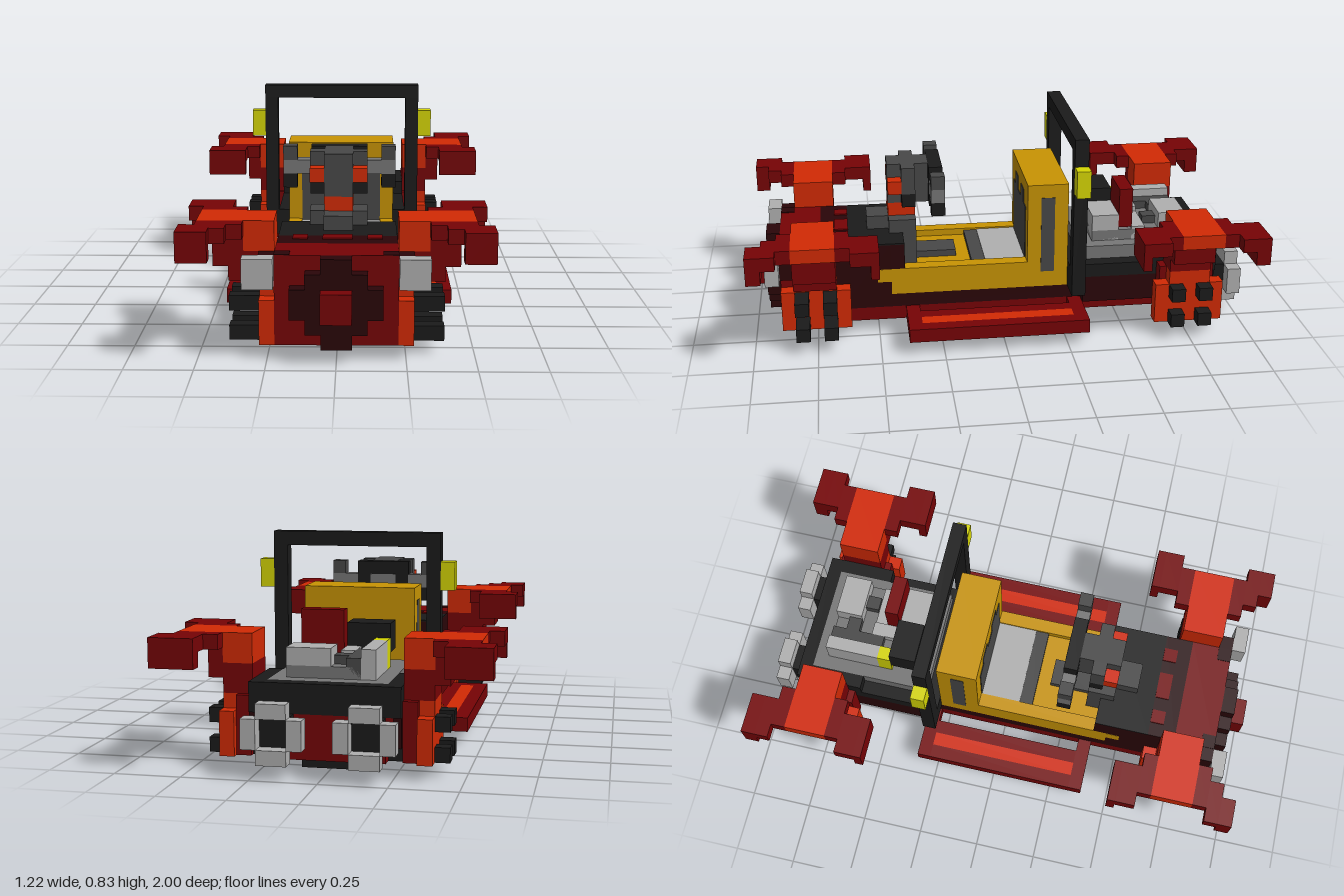
import * as THREE from 'three';

const U = 1 / 18; // one block

export function createModel() {
  const root = new THREE.Group();
  const mat = (name, color) => {
    const m = new THREE.MeshStandardMaterial({ color });
    m.name = name;
    return m;
  };
  const red = mat('red', 0x760305), orange = mat('orange', 0xd22a04), maroon = mat('maroon', 0x2a0508),
    black = mat('black', 0x1b1b1b), dark = mat('dark grey', 0x484848), grey = mat('grey', 0x777777),
    silver = mat('silver', 0xb0b0b0), gold = mat('gold', 0xc89403), yellow = mat('yellow', 0xd6d603);

  // Box given by its limits in block units
  const box = (name, m, x0, x1, y0, y1, z0, z1) => {
    const mesh = new THREE.Mesh(new THREE.BoxGeometry((x1 - x0) * U, (y1 - y0) * U, (z1 - z0) * U), m);
    mesh.position.set((x0 + x1) / 2 * U, (y0 + y1) / 2 * U, (z0 + z1) / 2 * U);
    mesh.name = name;
    root.add(mesh);
  };
  const pair = (name, m, x0, x1, ...r) => {
    box(name + 'Left', m, x0, x1, ...r);
    box(name + 'Right', m, -x1, -x0, ...r);
  };

  // Chassis with red ladder frame underneath
  box('floorPan', black, -3, 3, 1.5, 2.5, -15, 13);
  pair('frameRail', red, 3, 4, 1, 2, -16, 13);
  for (const z of [-16, -11, -6, -1, 5, 10]) box('frameCrossbeam', red, -3, 3, 1, 2, z, z + 1);
  pair('bodySide', maroon, 3, 4, 2, 3, -15, 13);
  box('bodyFloor', maroon, -3, 3, 2.5, 3, -15, 13);
  box('rearSkid', black, -2, 2, 0, 1, -14, -11);

  // Side sills
  pair('sillInner', red, 5, 6, 1, 2, -5, 6);
  pair('sillStripe', orange, 6, 7, 1, 2, -5, 6);
  pair('sillOuter', red, 7, 8, 1, 2, -5, 6);
  pair('sillFrontBracket', red, 4, 8, 1, 2, 6, 7);
  pair('sillRearBracket', red, 4, 8, 1, 2, -6, -5);

  // Nose
  box('nose', red, -4, 4, 1, 7, 13, 16);
  box('noseRingCore', maroon, -1, 1, 1, 7, 16, 17);
  pair('noseRingInner', maroon, 1, 2, 2, 6, 16, 17);
  pair('noseRingOuter', maroon, 2, 3, 3, 5, 16, 17);
  box('noseButton', red, -1, 1, 3, 5, 17, 18);
  pair('noseCorner', maroon, 3, 4, 7, 7.05, 15, 16);
  pair('headlight', silver, 4, 6, 5, 7, 16, 17);
  pair('headlightMount', maroon, 4, 5, 5, 7, 15, 16);

  // Cowl in front of the driver
  box('cowlFront', maroon, -4, 4, 3, 7, 11, 13);
  box('cowl', maroon, -4, 4, 3, 6.9, 8, 11);
  box('cowlRear', maroon, -4, 4, 5, 6.9, 7, 8);
  box('cowlTop', black, -4, 4, 6.9, 7, 7, 11);
  box('cowlMiddleStud', red, -1, 1, 7, 7.1, 11, 12);
  pair('cowlStud', red, 2, 3, 7, 7.1, 11, 12);

  // Seat
  box('seatBase', gold, -4, 4, 3, 4.5, -5, 8);
  pair('seatEdge', gold, 3, 4, 4.5, 5, -2, 8);
  pair('seatLip', gold, 3, 4.02, 4, 5, 8, 9);
  box('seatBack', gold, -4, 4, 4.5, 11, -5, -2);
  box('seatPad', silver, -3, 3, 4.5, 4.9, -2, 1);
  box('seatPadEdge', dark, -3, 3, 4.5, 4.85, 1, 2);
  box('backrestPad', dark, -3, 3, 4.9, 9, -2, -1.95);
  pair('backrestPadTop', dark, 0.7, 2, 9, 10, -2, -1.95);
  pair('seatSideSlot', dark, 4, 4.03, 4.2, 10, -4, -3);

  // Steering gear
  box('floorLever', dark, -1, 1, 4.5, 5, 3, 6);
  box('steeringFoot', dark, -2, 2, 4.5, 7, 6, 7);
  box('steeringBase', dark, -2, 2, 7, 8, 6, 8);
  box('cowlSpine', dark, -1, 1, 7, 8, 8, 9.6);
  box('steeringCollar', orange, -1, 1, 8, 9, 6, 8);
  box('steeringHead', dark, -1, 1, 9, 12, 5, 8);
  pair('headSide', dark, 1, 2, 10, 12, 6, 7);
  pair('headJaw', black, 1, 2, 9, 10, 6, 7);
  pair('headLamp', orange, 1, 2, 10, 11, 7, 8);
  box('steeringPlate', black, -2, 2, 9, 12, 4, 5);
  box('steeringScreen', grey, -1, 1, 10, 11, 3.95, 4);
  pair('steeringArm', grey, 2, 4, 10, 11, 4, 5);
  pair('gripTop', dark, 3, 4, 11, 12, 4, 5);
  pair('gripBottom', black, 3, 4, 9, 10, 4, 5);

  // Roll bar with side lamps
  pair('rollBarPost', black, 5, 6, 3, 14, -6, -5);
  box('rollBarTop', black, -6, 6, 14, 15, -6, -5);
  box('rollBarFoot', black, -5, 5, 3, 5, -6, -5);
  pair('sideLamp', yellow, 6, 7, 11, 13, -6, -5);

  // Rear engine bay
  box('bayBody', maroon, -5, 5, 2, 4, -15.9, -6);
  box('bayBase', black, -5, 5, 4, 5, -15, -6);
  box('bayRearRim', black, -5, 5, 4, 6, -16, -15);
  pair('baySideRim', black, 4, 5, 5, 6, -15, -11);
  box('bayDeck', grey, -4, 4, 5, 6, -15, -6);
  box('rearPanel', red, -4.5, 4.5, 1.5, 4, -16, -15.9);

  // Engine
  box('engineBlock', grey, -2, 3, 6, 6.8, -14, -7);
  box('cylinderBankLeft', silver, 0, 3, 6, 8, -14, -12);
  box('cylinderBankRight', silver, -3, -2, 6, 8, -14, -10);
  box('engineManifold', dark, -2, -1, 6, 7.4, -14, -10);
  box('engineCrossPipe', dark, -1, 0, 6, 7.4, -13, -12);
  box('engineCoupling', silver, -1, 0, 6, 7.4, -11, -9);
  box('engineValve', dark, 1, 2, 6, 7.4, -12, -11);
  box('engineMiddleBlock', silver, 0, 3, 6, 7, -11, -10);
  box('engineFrontBlock', silver, 0, 3, 6, 8, -9, -7);
  box('redFin', red, 0, 3, 7, 10, -10, -9);
  box('airScoop', black, -3, 0, 7, 9, -9, -7);
  box('fuelCap', yellow, -3, -2, 6, 8, -10, -9);

  // Exhaust rings
  pair('exhaustPipe', black, 2, 4, 2, 4, -17, -16);
  pair('exhaustTop', silver, 2, 4, 4, 5, -18, -17);
  pair('exhaustBottom', silver, 2, 4, 1, 2, -18, -17);
  pair('exhaustInner', silver, 1, 2, 2, 4, -18, -17);
  pair('exhaustOuter', silver, 4, 5, 2, 4, -18, -17);

  // Fenders: s shifts the rear set outward, sign mirrors it in z
  for (const [pos, s, sign] of [['front', 0, 1], ['rear', 1, -1]]) {
    const part = (name, m, x0, x1, y0, y1, za, zb) =>
      pair(pos + name, m, x0 + s, x1 + s, y0, y1, Math.min(za * sign, zb * sign), Math.max(za * sign, zb * sign));
    part('FenderTop', orange, 4, 9, 8, 9, 12, 15);
    part('FenderRoot', orange, 4, 6, 7, 8, 12, 15);
    part('FenderArm', red, 6, 8 - s, 6, 8, 12, 15);
    part('FenderKnee', red, 4, 7 - s, 5, 6, 12, 15);
    part('FenderInner', red, 4, 6, 6, 7, 12, 15);
    part('FenderFrontStep', red, 6, 9, 8, 9, 15, 16);
    part('FenderFrontWing', red, 7, 10, 8, 9, 16, 17);
    part('FenderFrontTip', red, 8 - s, 10, 7, 9, 17, 18);
    part('FenderBackStep', red, 6, 9, 8, 9, 11, 12);
    part('FenderBackWing', red, 7, 10, 8, 9, 9.6, 11);
    part('FenderBackTip', red, 7, 10, 7, 9, 9, 9.6);
    // Hub plate with four pegs and the axles between them
    part('HubPlate', orange, 4 + s, 5 + s, 1, 4, 11, 16);
    part('HubNeck', orange, 4 + s, 5 + s, 4, 5, 12, 15);
    for (const z of [12, 14]) {
      const z0 = sign > 0 ? z : -z - 1;
      box(pos + 'Axle', black, -4 - s, 4 + s, 0.97, 2, z0, z0 + 1);
      for (const y of [1, 3]) part('HubPeg', black, 5 + s, 7, y, y + 1, z, z + 1);
    }
  }
  pair('rearHubMount', red, 5, 6, 1, 5, -15.5, -11.5);
  return root;
}
